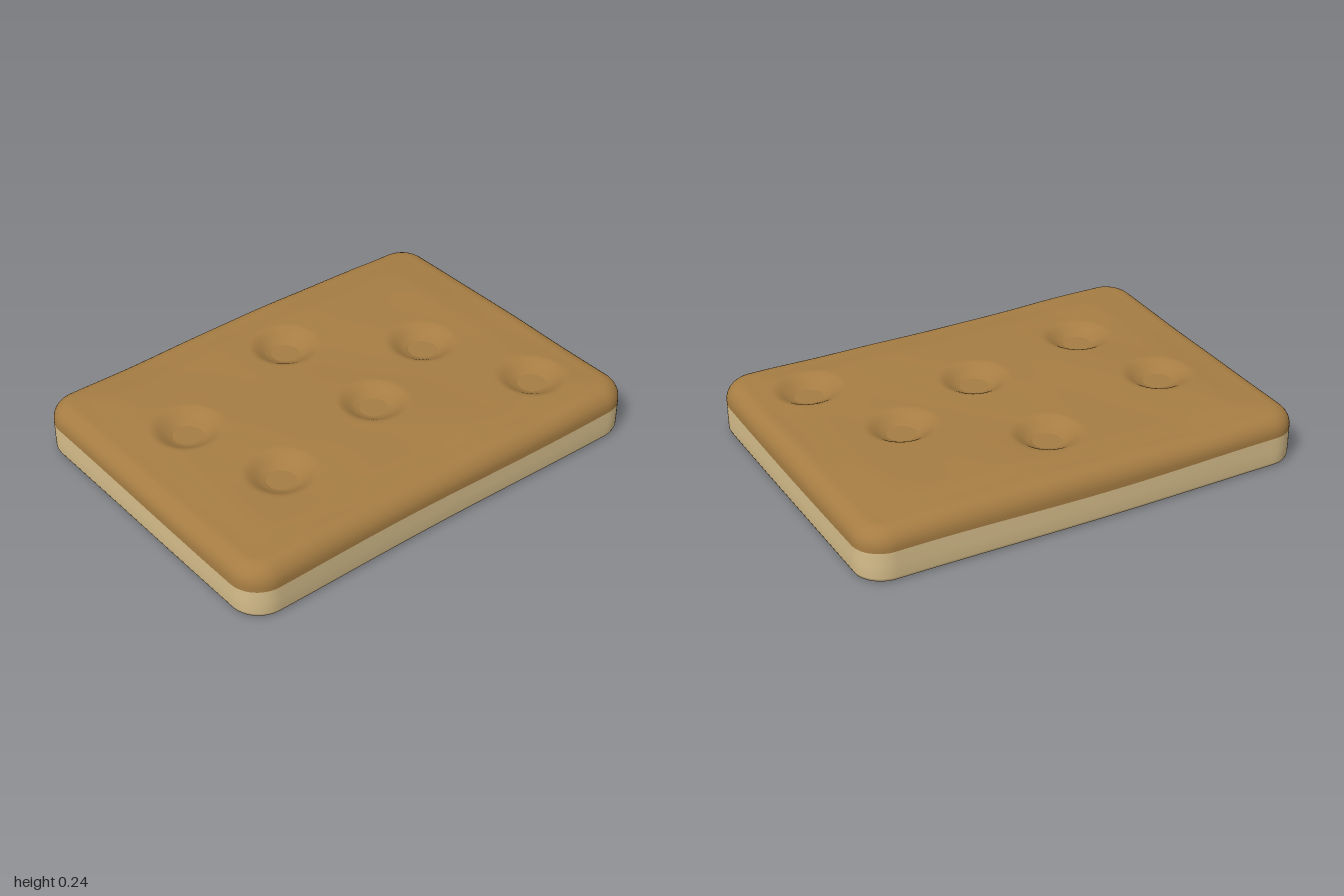
import * as THREE from 'three';

const HALF_X = 0.995, HALF_Z = 0.73, CORNER = 0.13;
const TOP_Y = 0.243, EDGE = 0.08;
const DIMPLES = [[0.02, -0.38], [-0.64, -0.17], [0.5, -0.04], [0.06, 0.165], [-0.52, 0.295], [0.7, 0.435]];

// Gentle baked unevenness of the crust
const wave = (x, z) =>
  0.004 * Math.sin(3.1 * x + 1.7 * z + 2) + 0.003 * Math.sin(5.3 * z - 4.2 * x) +
  0.0018 * Math.sin(11 * x + 3 * z) * Math.sin(9 * z - 2 * x);

// Funnel around each docking hole; it continues a little under the hole's floor
function dimple(x, z) {
  let drop = 0;
  for (const [cx, cz] of DIMPLES) {
    const r = Math.hypot(x - cx, z - cz);
    drop += 0.04 * (1 - THREE.MathUtils.smoothstep(r, 0.06, 0.155));
    drop += 0.014 * (1 - THREE.MathUtils.smoothstep(r, 0.04, 0.068));
  }
  return drop;
}

const topHeight = (x, z) => TOP_Y + wave(x, z) - dimple(x, z);

// Rounded rectangle, evenly divided, as points with outward normals
function makeOutline() {
  const points = [];
  const cx = HALF_X - CORNER, cz = HALF_Z - CORNER;
  const corners = [[1, 1], [-1, 1], [-1, -1], [1, -1]];
  corners.forEach(([sx, sz], k) => {
    for (let i = 0; i <= 12; i++) {
      const a = (k + i / 12) * Math.PI / 2;
      points.push({ x: sx * cx, z: sz * cz, nx: Math.cos(a), nz: Math.sin(a) });
    }
    const [tx, tz] = corners[(k + 1) % 4];
    const steps = k % 2 === 0 ? 100 : 70;
    const a = (k + 1) * Math.PI / 2;
    for (let i = 1; i < steps; i++) {
      points.push({
        x: THREE.MathUtils.lerp(sx, tx, i / steps) * cx,
        z: THREE.MathUtils.lerp(sz, tz, i / steps) * cz,
        nx: Math.cos(a), nz: Math.sin(a),
      });
    }
  });
  return points;
}

const OUTLINE = makeOutline();

// One loop: outline pulled in by inset, scaled towards the centre, with a slight wobble
function loop(inset, scale, heightAt) {
  return OUTLINE.map((p) => {
    let x = (p.x + p.nx * (CORNER - inset)) * scale;
    let z = (p.z + p.nz * (CORNER - inset)) * scale;
    const wobble = 0.005 * Math.sin(3.4 * x + 2.2 * z + 3.4) * scale;
    x += p.nx * wobble * 0.6;
    z += p.nz * wobble;
    return [x, heightAt(x, z), z];
  });
}

// Skin neighbouring loops with quads
function skin(loops) {
  const n = OUTLINE.length, index = [];
  for (let j = 0; j < loops.length - 1; j++) {
    for (let i = 0; i < n; i++) {
      const k = (i + 1) % n;
      const a = j * n + i, b = j * n + k, c = a + n, d = b + n;
      index.push(a, c, b, b, c, d);
    }
  }
  const geometry = new THREE.BufferGeometry();
  geometry.setAttribute('position', new THREE.Float32BufferAttribute(loops.flat(2), 3));
  geometry.setIndex(index);
  geometry.computeVertexNormals();
  return geometry;
}

export function createModel() {
  const model = new THREE.Group();
  model.name = 'cracker';
  const crust = new THREE.MeshStandardMaterial({ color: 0xa67d43, side: THREE.DoubleSide });
  crust.name = 'toasted brown';
  const dough = new THREE.MeshStandardMaterial({ color: 0xd8bf8c, side: THREE.DoubleSide });
  dough.name = 'pale dough';

  const add = (name, geometry, material) => {
    const mesh = new THREE.Mesh(geometry, material);
    mesh.name = name;
    model.add(mesh);
    return mesh;
  };

  // Uneven line where the pale side meets the toasted top
  const seam = (x, z) => 0.137 + 0.004 * Math.sin(4 * x + 3 * z + 1);

  // Pale side wall, open below with a slightly turned-in lower edge
  add('sideWall', skin([
    loop(0.02, 1, () => 0.006),
    loop(0.007, 1, () => 0.012),
    loop(0.001, 1, () => 0.027),
    loop(0, 1, () => 0.08),
    loop(0, 1, seam),
  ]), dough);

  // Toasted top: rounded shoulder, then loops shrinking to the centre
  const loops = [loop(0, 1, seam)];
  for (let i = 0; i <= 8; i++) {
    const a = (i / 8) * Math.PI / 2;
    const rise = Math.sin(a);
    loops.push(loop(EDGE * (1 - Math.cos(a)), 1,
      (x, z) => TOP_Y - 0.008 - EDGE * (1 - rise) + wave(x, z) * rise));
  }
  const ROWS = 80;
  for (let i = 1; i <= ROWS; i++) {
    const s = 1 - i / ROWS;
    const settle = 0.008 * THREE.MathUtils.smoothstep(s, 0.8, 1);
    loops.push(loop(EDGE, s, (x, z) => topHeight(x, z) - settle));
  }
  add('toastedTop', skin(loops), crust);

  // Flat round floors of the docking holes
  for (const [x, z] of DIMPLES) {
    const floor = add('holeFloor', new THREE.CylinderGeometry(0.07, 0.07, 0.016, 40), crust);
    floor.position.set(x, TOP_Y + wave(x, z) - 0.05, z);
  }
  return model;
}
